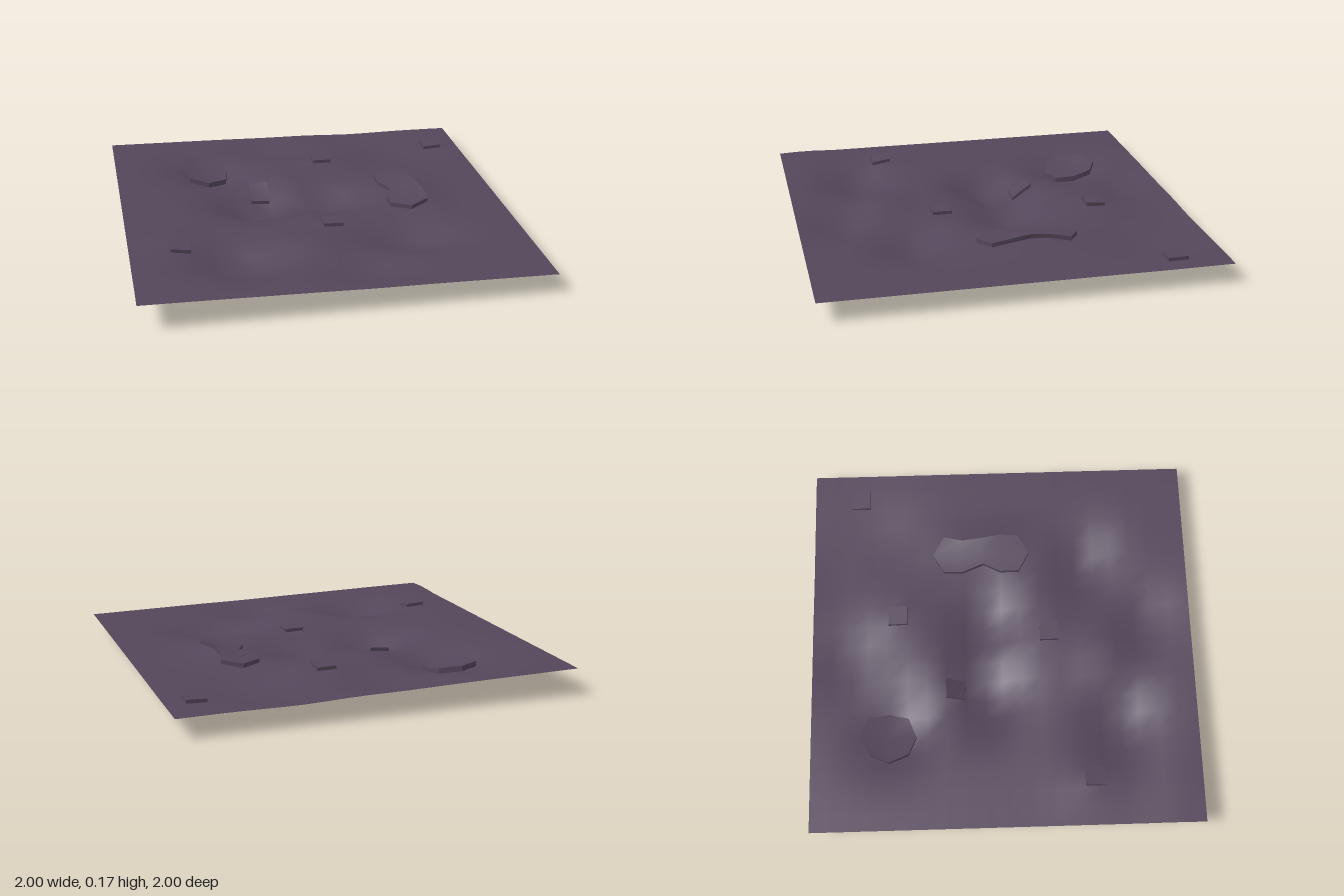
import * as THREE from 'three';
import { toCreasedNormals } from 'three/addons/utils/BufferGeometryUtils.js';

// Hills (+) and hollows (-): x, z, height, radius in x, radius in z
const BUMPS = [
  [-0.31, -0.06, -0.115, 0.18, 0.15],
  [-0.2, -0.17, -0.045, 0.12, 0.1],
  [0.1, -0.09, -0.1, 0.19, 0.15],
  [-0.47, -0.54, -0.09, 0.18, 0.19],
  [0.42, 0.45, -0.085, 0.21, 0.14],
  [-0.48, 0.6, -0.085, 0.2, 0.16],
  [0.1, 0.76, -0.055, 0.2, 0.13],
  [-0.1, -0.8, -0.045, 0.2, 0.12],
  [0.6, -0.65, -0.03, 0.22, 0.2],
  [0.4, -0.88, -0.02, 0.2, 0.12],
  [-0.75, 0.42, 0.022, 0.13, 0.16],
  [-0.1, -0.36, 0.03, 0.13, 0.08],
  [0.15, -0.52, 0.024, 0.17, 0.13],
  [-0.08, 0.54, 0.036, 0.15, 0.11],
  [0.6, -0.1, 0.038, 0.07, 0.2],
  [-0.75, 0.85, 0.012, 0.3, 0.1],
];

// Stones lifted out of the grid: cell ranges in steps of 0.1 from -1, lift,
// and sideways moves of single grid points [column, row, dx, dz]
const STONES = [
  { name: 'roundStone', c0: 4, c1: 6, r0: 3, r1: 5, lift: 0.028,
    moves: [[5, 3, 0, -0.05], [4, 4, -0.045, 0], [5, 5, 0, 0.04], [6, 4, 0.02, 0]] },
  { name: 'longStone', c0: 14, c1: 16, r0: 7, r1: 11, lift: 0.022,
    moves: [[15, 7, 0, -0.06], [14, 9, 0.045, 0.01], [15, 11, 0, 0.055], [16, 8, -0.027, 0], [16, 9, -0.02, 0]] },
  ...[[7, 7], [11, 4], [18, 2], [10, 12], [2, 14]].map(([c, r]) => (
    { name: 'squareStone', c0: c, c1: c + 1, r0: r, r1: r + 1, lift: 0.018, moves: [] })),
];

const N = 20;
const moved = new Map(STONES.flatMap((s) => s.moves.map(([c, r, dx, dz]) => [c + r * (N + 1), [dx, dz]])));

function groundHeight(x, z) {
  let h = 0.126 - 0.018 * x;
  for (const [bx, bz, dh, rx, rz] of BUMPS) {
    h += dh * Math.exp(-(((x - bx) / rx) ** 2) - ((z - bz) / rz) ** 2);
  }
  return Math.max(h, 0);
}

// Ground point at a grid crossing, raised by lift
function gridPoint(c, r, lift = 0) {
  const [dx, dz] = moved.get(c + r * (N + 1)) ?? [0, 0];
  const x = c / 10 - 1 + dx, z = r / 10 - 1 + dz;
  return [x, groundHeight(x, z) + lift, z];
}

function makeMesh(name, positions, creaseAngle) {
  const geo = new THREE.BufferGeometry();
  geo.setAttribute('position', new THREE.Float32BufferAttribute(positions, 3));
  const mesh = new THREE.Mesh(toCreasedNormals(geo, creaseAngle),
    new THREE.MeshStandardMaterial({ color: 0x54465a, side: THREE.DoubleSide }));
  mesh.name = name;
  return mesh;
}

const quad = (a, b, c, d) => [...a, ...b, ...c, ...a, ...c, ...d];

const cell = (c, r, lift) => quad(gridPoint(c, r, lift), gridPoint(c, r + 1, lift),
  gridPoint(c + 1, r + 1, lift), gridPoint(c + 1, r, lift));

// Lifted cells closed by a wall around their border
function makeStone({ name, c0, c1, r0, r1, lift }) {
  const pos = [];
  for (let r = r0; r < r1; r++) for (let c = c0; c < c1; c++) pos.push(...cell(c, r, lift));
  const wall = (ca, ra, cb, rb) => pos.push(...quad(gridPoint(ca, ra), gridPoint(cb, rb),
    gridPoint(cb, rb, lift), gridPoint(ca, ra, lift)));
  for (let c = c0; c < c1; c++) {
    wall(c, r1, c + 1, r1);
    wall(c + 1, r0, c, r0);
  }
  for (let r = r0; r < r1; r++) {
    wall(c0, r, c0, r + 1);
    wall(c1, r + 1, c1, r);
  }
  return makeMesh(name, pos, 0.6);
}

export function createModel() {
  const group = new THREE.Group();
  group.name = 'groundTile';

  // Rolling ground sheet, open beneath the stones
  const pos = [];
  for (let r = 0; r < N; r++) {
    for (let c = 0; c < N; c++) {
      const covered = STONES.some((s) => c >= s.c0 && c < s.c1 && r >= s.r0 && r < s.r1);
      if (!covered) pos.push(...cell(c, r, 0));
    }
  }
  group.add(makeMesh('ground', pos, 1.5));

  for (const stone of STONES) group.add(makeStone(stone));

  // Rest the lowest point on y = 0
  const low = new THREE.Box3().setFromObject(group).min.y;
  group.children.forEach((m) => m.geometry.translate(0, -low, 0));
  return group;
}
